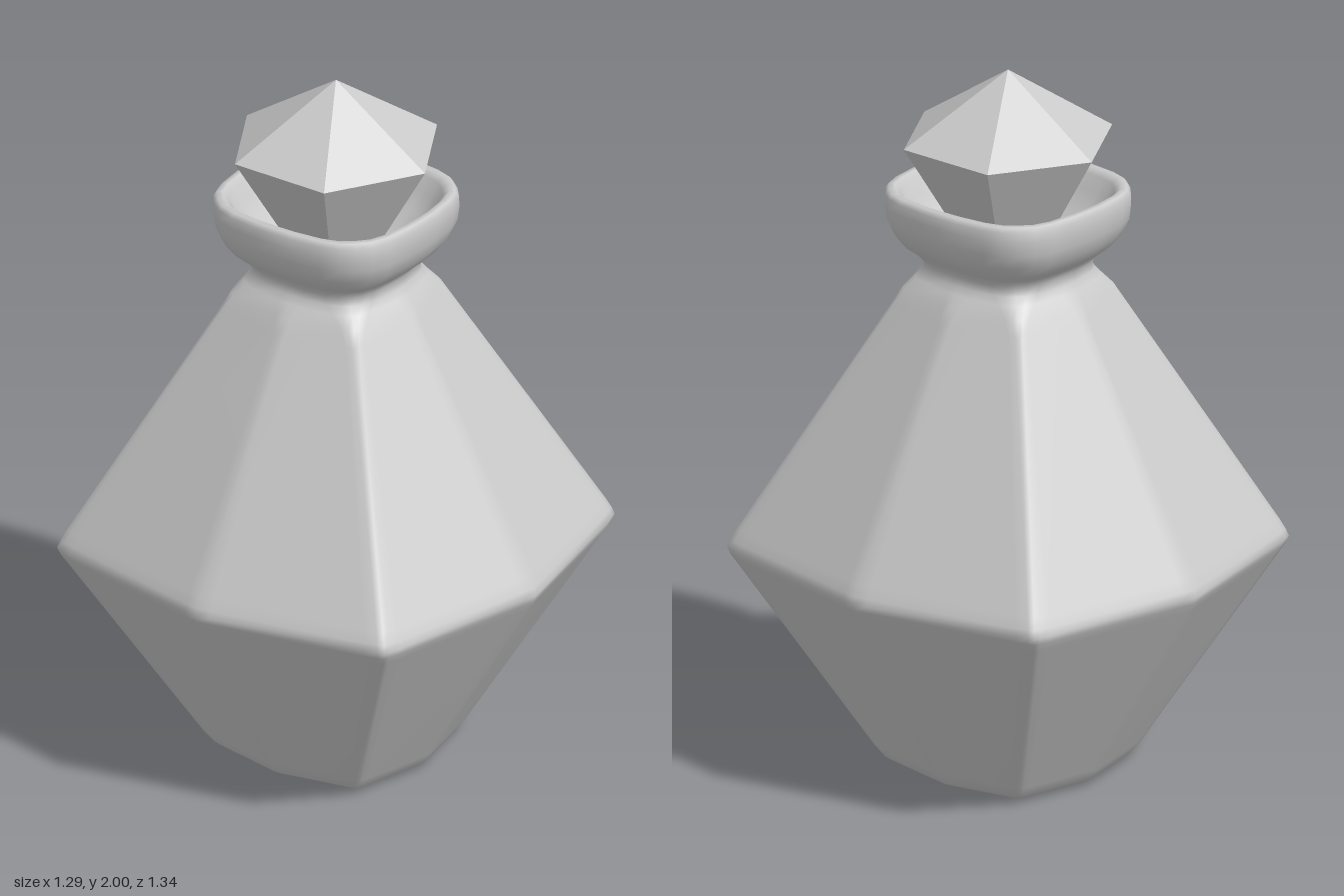
import * as THREE from 'three';

const material = () => new THREE.MeshStandardMaterial({ color: 0xcccccc });

// Half a quarter of the plan outline (x, z), from mid-side to corner, at unit size
const FACETED = [[0, 1], [0.06, 0.987], [0.74, 0.842], [0.79, 0.826], [0.82, 0.817]];
const ROUNDED = [[0, 1], [0.2, 0.995], [0.5, 0.96], [0.68, 0.9], [0.8, 0.8]];

// Full closed outline, blended between faceted (0) and rounded (1)
function outline(roundness) {
  const half = FACETED.map(([x, z], i) => [
    THREE.MathUtils.lerp(x, ROUNDED[i][0], roundness),
    THREE.MathUtils.lerp(z, ROUNDED[i][1], roundness),
  ]);
  let quarter = [...half, ...half.slice(1, 4).reverse().map(([x, z]) => [z, x])];
  const points = [];
  for (let q = 0; q < 4; q++) {
    points.push(...quarter);
    quarter = quarter.map(([x, z]) => [z, -x]);
  }
  return points;
}

// Skin a stack of rings: [y, half width in x, half depth in z, roundness]
function loft(rings) {
  const positions = [], indices = [];
  const n = outline(0).length;
  rings.forEach(([y, w, d, roundness], r) => {
    for (const [x, z] of outline(roundness)) positions.push(x * w, y, z * d);
    if (r === 0) return;
    for (let i = 0; i < n; i++) {
      const a = (r - 1) * n + i, b = (r - 1) * n + (i + 1) % n;
      indices.push(a, b, b + n, a, b + n, a + n);
    }
  });
  const geometry = new THREE.BufferGeometry();
  geometry.setAttribute('position', new THREE.Float32BufferAttribute(positions, 3));
  geometry.setIndex(indices);
  geometry.computeVertexNormals();
  return geometry;
}

export function createModel() {
  const model = new THREE.Group();
  model.name = 'stopperedBottle';

  // Bottle: base, faceted belly, round neck, rolled lip and inside of the mouth
  const bottle = new THREE.Mesh(loft([
    [0.005, 0, 0, 0],
    [0.005, 0.21, 0.22, 0],
    [0.01, 0.255, 0.265, 0],
    [0.025, 0.28, 0.292, 0],
    [0.06, 0.305, 0.318, 0],
    [0.595, 0.621, 0.646, 0],
    [0.62, 0.636, 0.661, 0],
    [0.64, 0.643, 0.669, 0],
    [0.66, 0.636, 0.661, 0],
    [0.69, 0.621, 0.646, 0],
    [1.34, 0.264, 0.274, 0.1],
    [1.38, 0.243, 0.252, 0.25],
    [1.41, 0.216, 0.224, 0.6],
    [1.43, 0.201, 0.208, 0.9],
    [1.455, 0.197, 0.204, 1],
    [1.48, 0.215, 0.223, 1],
    [1.505, 0.245, 0.254, 1],
    [1.54, 0.27, 0.28, 1],
    [1.58, 0.285, 0.295, 1],
    [1.62, 0.289, 0.299, 1],
    [1.65, 0.288, 0.298, 1],
    [1.663, 0.28, 0.29, 1],
    [1.664, 0.265, 0.274, 1],
    [1.65, 0.25, 0.259, 1],
    [1.61, 0.235, 0.243, 1],
    [1.56, 0.205, 0.212, 1],
    [1.51, 0.16, 0.166, 1],
    [1.48, 0.13, 0.135, 1],
    [1.47, 0, 0, 1],
  ]), material());
  bottle.name = 'bottle';
  model.add(bottle);

  // Six-sided gem stopper: crown above, tapering pavilion below
  const stopper = new THREE.Group();
  stopper.name = 'stopper';
  const gem = (name, top, bottom, y0, y1, open) => {
    const geometry = new THREE.CylinderGeometry(top, bottom, y1 - y0, 6, 1, open);
    const mesh = new THREE.Mesh(geometry, material());
    mesh.material.flatShading = true;
    mesh.position.y = (y0 + y1) / 2;
    mesh.name = name;
    stopper.add(mesh);
  };
  gem('stopperCrown', 0, 0.298, 1.805, 2, true);
  gem('stopperPavilion', 0.298, 0.11, 1.49, 1.805, false);
  model.add(stopper);

  return model;
}
